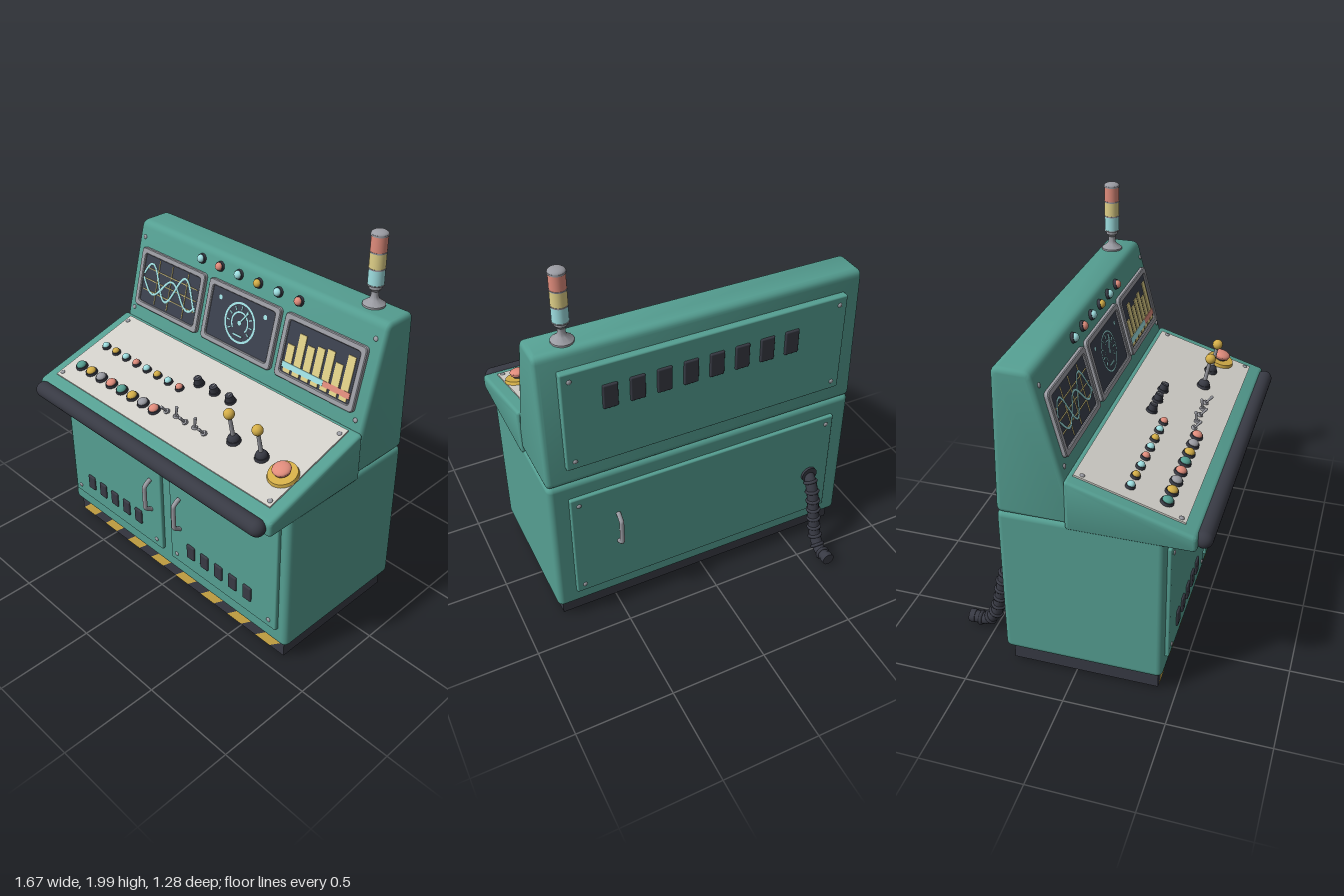
import * as THREE from 'three';
import { toCreasedNormals } from 'three/addons/utils/BufferGeometryUtils.js';
import { RoundedBoxGeometry } from 'three/addons/geometries/RoundedBoxGeometry.js';

const paint = (name, color) => Object.assign(new THREE.MeshStandardMaterial({ color }), { name });

export function createModel() {
  const teal = paint('teal', 0x559f92), dark = paint('charcoal', 0x383a44), screenMat = paint('screen', 0x3b404d);
  const panelMat = paint('panel', 0xd2d0ca), grey = paint('steel', 0x9a9ba2), yellow = paint('yellow', 0xd4ae48);
  const pale = paint('paleYellow', 0xe0d088), red = paint('salmon', 0xe08c7c), cyan = paint('cyan', 0x9fe0e2);
  const root = new THREE.Group();
  root.name = 'controlConsole';

  const add = (parent, name, geo, mat, x = 0, y = 0, z = 0, rx = 0, ry = 0, rz = 0) => {
    const m = new THREE.Mesh(geo, mat);
    m.name = name;
    m.position.set(x, y, z);
    m.rotation.set(rx, ry, rz);
    parent.add(m);
    return m;
  };
  const group = (parent, name, x = 0, y = 0, z = 0, rx = 0, ry = 0) => {
    const g = new THREE.Group();
    g.name = name;
    g.position.set(x, y, z);
    g.rotation.set(rx, ry, 0);
    parent.add(g);
    return g;
  };
  const box = (w, h, d) => new THREE.BoxGeometry(w, h, d);
  const rbox = (w, h, d, r) => new RoundedBoxGeometry(w, h, d, 3, r);
  const cyl = (a, b, h, n = 24) => new THREE.CylinderGeometry(a, b, h, n);
  const dome = (r, h) => new THREE.SphereGeometry(r, 20, 8, 0, Math.PI * 2, 0, Math.PI / 2).scale(1, h / r, 1);

  // Polygon with rounded corners
  const roundPoly = (pts, r, target = new THREE.Shape()) => {
    const v = pts.map(p => new THREE.Vector2(...p)), n = v.length;
    v.forEach((p, i) => {
      const a = v[(i + n - 1) % n].clone().sub(p).setLength(r).add(p);
      const b = v[(i + 1) % n].clone().sub(p).setLength(r).add(p);
      if (i) target.lineTo(a.x, a.y); else target.moveTo(a.x, a.y);
      target.quadraticCurveTo(p.x, p.y, b.x, b.y);
    });
    target.closePath();
    return target;
  };
  const rect = (w, h) => [[-w / 2, -h / 2], [w / 2, -h / 2], [w / 2, h / 2], [-w / 2, h / 2]];
  // Side profile (z, y) extruded across the width with soft edges
  const sideBody = (pts, width, r, b) => toCreasedNormals(new THREE.ExtrudeGeometry(roundPoly(pts, r), {
    depth: width - 2 * b, bevelSize: b, bevelThickness: b, bevelOffset: -b, bevelSegments: 4, curveSegments: 5,
  }).translate(0, 0, b - width / 2).rotateY(-Math.PI / 2), 0.6);

  const screw = (parent, x, y, z, rx = Math.PI / 2) => add(parent, 'screw', dome(0.012, 0.007), grey, x, y, z, rx);
  const screws = (parent, cx, cy, dx, dy, z) => {
    for (const sx of [-1, 1]) for (const sy of [-1, 1]) screw(parent, cx + sx * dx, cy + sy * dy, z);
  };
  const handle = (parent, x, y, z) => {
    const path = new THREE.CatmullRomCurve3([[-0.095, 0], [-0.09, 0.012], [-0.065, 0.04], [0.065, 0.04], [0.09, 0.012], [0.095, 0]]
      .map(p => new THREE.Vector3(0, p[0], p[1])), false, 'catmullrom', 0.1);
    add(parent, 'handle', new THREE.TubeGeometry(path, 30, 0.012, 10), grey, x, y, z);
  };
  const button = (parent, name, x, y, z, r, h, mat, rx = 0) => {
    const g = group(parent, name, x, y, z, rx);
    add(g, 'bezel', cyl(r * 1.15, r * 1.25, 0.014), dark, 0, 0.007);
    add(g, 'cap', dome(r, h), mat, 0, 0.014);
  };

  // Plinth with hazard stripes
  add(root, 'plinth', box(1.59, 0.1, 0.73), dark, 0, 0.068, 0.045);
  for (let i = 0; i < 8; i++) {
    const x = -0.795 + i * 0.199, end = Math.min(x + 0.19, 0.79);
    const s = new THREE.Shape([[x + 0.005, 0.022], [x + 0.105, 0.022], [end, 0.102], [x + 0.09, 0.102]].map(p => new THREE.Vector2(...p)));
    add(root, 'hazardStripe', new THREE.ShapeGeometry(s), yellow, 0, 0, 0.413);
  }

  // Main bodies
  add(root, 'cabinet', rbox(1.65, 0.81, 0.79, 0.03), teal, 0, 0.505, 0.04);
  add(root, 'upperHousing', sideBody([[-0.355, 0.905], [0.037, 0.905], [-0.156, 1.64], [-0.335, 1.64]], 1.65, 0.035, 0.025), teal);
  add(root, 'consoleDesk', sideBody([[-0.025, 0.88], [0.575, 0.88], [0.575, 0.958], [-0.025, 1.138]], 1.67, 0.02, 0.018), teal);
  add(root, 'armRest', new THREE.CapsuleGeometry(0.042, 1.55, 8, 20), dark, 0, 0.922, 0.595, 0, 0, Math.PI / 2);

  // Front doors
  for (const s of [-1, 1]) {
    const cx = s * 0.405;
    add(root, 'door', rbox(0.74, 0.63, 0.04, 0.008), teal, cx, 0.515, 0.435);
    screws(root, cx, 0.515, 0.325, 0.27, 0.455);
    handle(root, s * 0.11, 0.525, 0.455);
    for (let i = 0; i < 5; i++)
      add(root, 'doorVent', rbox(0.055, 0.085, 0.024, 0.008), dark, (s < 0 ? -0.617 : 0.19) + i * 0.0995, 0.323, 0.453);
  }

  // Back covers
  const back = group(root, 'backSide', 0, 0, 0, 0, Math.PI);
  for (const [y, h] of [[1.28, 0.54], [0.505, 0.63]]) {
    add(back, 'backCover', rbox(1.455, h, 0.04, 0.008), teal, 0, y, 0.355);
    screws(back, 0, y, 0.685, h / 2 - 0.045, 0.375);
  }
  for (let i = 0; i < 8; i++) add(back, 'backVent', rbox(0.075, 0.13, 0.024, 0.008), dark, -0.5 + i * 0.1325, 1.375, 0.373);
  handle(back, -0.49, 0.555, 0.375);

  // Ribbed cable hose
  const hosePath = new THREE.CatmullRomCurve3([[0.46, -0.36], [0.43, -0.4], [0.35, -0.435], [0.2, -0.468], [0.1, -0.5], [0.05, -0.55], [0.05, -0.635]]
    .map(p => new THREE.Vector3(-0.61, p[0], p[1])));
  const hose = group(root, 'hose');
  add(hose, 'hoseTube', new THREE.TubeGeometry(hosePath, 50, 0.031, 14), dark);
  for (let i = 1; i <= 9; i++) {
    const t = i / 10, ring = add(hose, 'hoseRib', new THREE.TorusGeometry(0.031, 0.009, 8, 18), dark);
    ring.position.copy(hosePath.getPointAt(t));
    ring.lookAt(ring.position.clone().add(hosePath.getTangentAt(t)));
  }
  add(hose, 'hoseEnd', cyl(0.034, 0.034, 0.03), dark, -0.61, 0.05, -0.625, Math.PI / 2);
  add(hose, 'hoseSocket', cyl(0.045, 0.045, 0.02), dark, -0.61, 0.46, -0.378, Math.PI / 2);

  // Slanted display face
  const face = group(root, 'displayFace', 0, 1.36, -0.0815, -Math.atan(0.2626));
  screws(face, 0, 0.01, 0.777, 0.197, 0);
  [cyan, red, cyan, yellow, cyan, red].forEach((m, i) =>
    button(face, 'statusLamp', -0.335 + i * 0.132, 0.225, 0, 0.021, 0.018, m, Math.PI / 2));
  const frameShape = roundPoly(rect(0.487, 0.32), 0.025);
  frameShape.holes.push(roundPoly(rect(0.425, 0.26), 0.015, new THREE.Path()));
  const frameGeo = new THREE.ExtrudeGeometry(frameShape, { depth: 0.016, bevelSize: 0.004, bevelThickness: 0.004, bevelOffset: -0.004, bevelSegments: 1 });
  const displays = [-0.52, 0, 0.518].map((x, i) => {
    const g = group(face, ['waveDisplay', 'gaugeDisplay', 'barDisplay'][i], x, 0, 0);
    add(g, 'frame', frameGeo, grey);
    add(g, 'screen', box(0.44, 0.275, 0.012), screenMat, 0, 0, 0.004);
    return g;
  });
  const [wave, gauge, bars] = displays;
  const plate = (g, name, w, h, mat, x, y, z = 0.012, rz = 0) => add(g, name, box(w, h, 0.004), mat, x, y, z, 0, 0, rz);

  // Wave traces over a grid
  for (const x of [-0.1, 0, 0.12]) plate(wave, 'gridLine', 0.004, 0.24, pale, x, 0);
  for (const y of [-0.06, 0, 0.06]) plate(wave, 'gridLine', 0.4, 0.004, pale, 0, y);
  for (const [amp, phase, turns, off] of [[0.085, 0.2, 1.6, 0.005], [0.055, 2.8, 1.5, -0.015]]) {
    const pts = Array.from({ length: 33 }, (_, i) =>
      new THREE.Vector3(-0.205 + i * 0.0128, off + amp * Math.sin(phase + turns * Math.PI * 2 * i / 32), 0));
    add(wave, 'trace', new THREE.TubeGeometry(new THREE.CatmullRomCurve3(pts), 64, 0.0065, 6).scale(1, 1, 0.4), cyan, 0, 0, 0.014);
  }

  // Dial gauge
  add(gauge, 'dialRing', new THREE.RingGeometry(0.093, 0.104, 48), cyan, 0, 0, 0.013);
  add(gauge, 'dialArc', new THREE.RingGeometry(0.05, 0.058, 36, 1, -0.7, Math.PI + 1.4), cyan, 0, 0, 0.013);
  for (let i = 0; i < 9; i++) {
    const a = -0.6 + i * (Math.PI + 1.2) / 8;
    plate(gauge, 'dialTick', 0.02, 0.006, cyan, 0.075 * Math.cos(a), 0.075 * Math.sin(a), 0.012, a);
  }
  plate(gauge, 'needle', 0.085, 0.007, cyan, 0.022, 0.03, 0.013, 0.94);
  add(gauge, 'needleHub', new THREE.CircleGeometry(0.014, 20), cyan, 0, 0, 0.016);
  plate(gauge, 'dialFoot', 0.06, 0.008, cyan, 0, -0.065);
  for (const s of [-1, 1]) add(gauge, 'indicatorDot', new THREE.CircleGeometry(0.012, 16), cyan, s * 0.153, 0.083, 0.013);

  // Bar chart
  [0.14, 0.21, 0.173, 0.19, 0.2, 0.158, 0.217].forEach((h, i) => plate(bars, 'chartBar', 0.043, h, pale, -0.175 + i * 0.058, -0.124 + h / 2));
  plate(bars, 'chartStripCyan', 0.255, 0.03, cyan, -0.08, -0.09, 0.014);
  plate(bars, 'chartStripRed', 0.16, 0.03, red, 0.128, -0.09, 0.014);

  // Sloped control panel; depth z is given as seen from above
  const slope = Math.atan(0.3), desk = group(root, 'controlPanel', 0, 1.131, 0, slope);
  const dz = z => z / Math.cos(slope), top = 0.008;
  add(desk, 'panelPlate', box(1.543, 0.016, dz(0.51)), panelMat, 0, 0, dz(0.255));
  for (const x of [-0.75, 0.75]) for (const z of [0.036, 0.485]) screw(desk, x, top, dz(z), 0);
  const lampMats = [cyan, yellow, cyan, red], buttonMats = [teal, yellow, grey, red];
  for (let i = 0; i < 8; i++) {
    const x = -0.688 + i * 0.0826;
    button(desk, 'panelLamp', x, top, dz(0.235), 0.019, 0.017, lampMats[i % 4]);
    button(desk, 'pushButton', x, top, dz(0.403), 0.026, 0.018, buttonMats[i % 4]);
  }
  for (const x of [-0.047, 0.064, 0.174]) {
    add(desk, 'knobSkirt', cyl(0.027, 0.029, 0.012), dark, x, top + 0.006, dz(0.16));
    add(desk, 'knob', cyl(0.02, 0.024, 0.034, 16), dark, x, top + 0.025, dz(0.16));
    add(desk, 'knobMark', box(0.005, 0.003, 0.018), grey, x, top + 0.043, dz(0.155));
  }
  for (let i = 0; i < 5; i++) {
    const t = group(desk, 'toggleSwitch', -0.047 + i * 0.066, top, dz(0.375), i % 2 ? -0.4 : 0.4);
    add(t, 'toggleNut', cyl(0.014, 0.016, 0.012, 12), grey, 0, 0.005);
    add(t, 'toggleStem', cyl(0.008, 0.005, 0.045, 10), grey, 0, 0.03);
    add(t, 'toggleTip', new THREE.SphereGeometry(0.008, 10, 8), grey, 0, 0.052);
  }
  for (const x of [0.37, 0.55]) {
    const l = group(desk, 'lever', x, top, dz(0.33), -0.1);
    add(l, 'leverBase', cyl(0.033, 0.036, 0.016), dark, 0, 0.006);
    add(l, 'leverBoot', dome(0.03, 0.03), dark, 0, 0.014);
    add(l, 'leverStem', cyl(0.009, 0.011, 0.14, 12), grey, 0, 0.09);
    add(l, 'leverBall', new THREE.SphereGeometry(0.027, 20, 14), yellow, 0, 0.168);
  }
  const stop = group(desk, 'stopButton', 0.7, top, dz(0.35));
  add(stop, 'stopCollar', cyl(0.07, 0.075, 0.016, 32), yellow, 0, 0.008);
  add(stop, 'stopStem', cyl(0.028, 0.028, 0.025), dark, 0, 0.025);
  add(stop, 'stopRim', cyl(0.045, 0.04, 0.014, 28), red, 0, 0.035);
  add(stop, 'stopCap', dome(0.045, 0.02), red, 0, 0.042);

  // Signal tower
  const tower = group(root, 'signalTower', 0.66, 1.635, -0.257);
  const stem = [[0, 0], [0.053, 0], [0.053, 0.014], [0.024, 0.036], [0.018, 0.05], [0.018, 0.075], [0.03, 0.09], [0.03, 0.108], [0, 0.108]];
  add(tower, 'towerStem', toCreasedNormals(new THREE.LatheGeometry(stem.map(p => new THREE.Vector2(...p)), 28), 0.6), grey);
  [cyan, pale, red].forEach((m, i) => {
    add(tower, 'towerSeam', cyl(0.04, 0.04, 0.006, 28), grey, 0, 0.109 + i * 0.078);
    add(tower, 'towerLamp', cyl(0.038, 0.038, 0.074, 28), m, 0, 0.148 + i * 0.078);
  });
  add(tower, 'towerCapRim', cyl(0.041, 0.041, 0.008, 28), grey, 0, 0.345);
  add(tower, 'towerCap', dome(0.04, 0.017), grey, 0, 0.348);

  return root;
}
